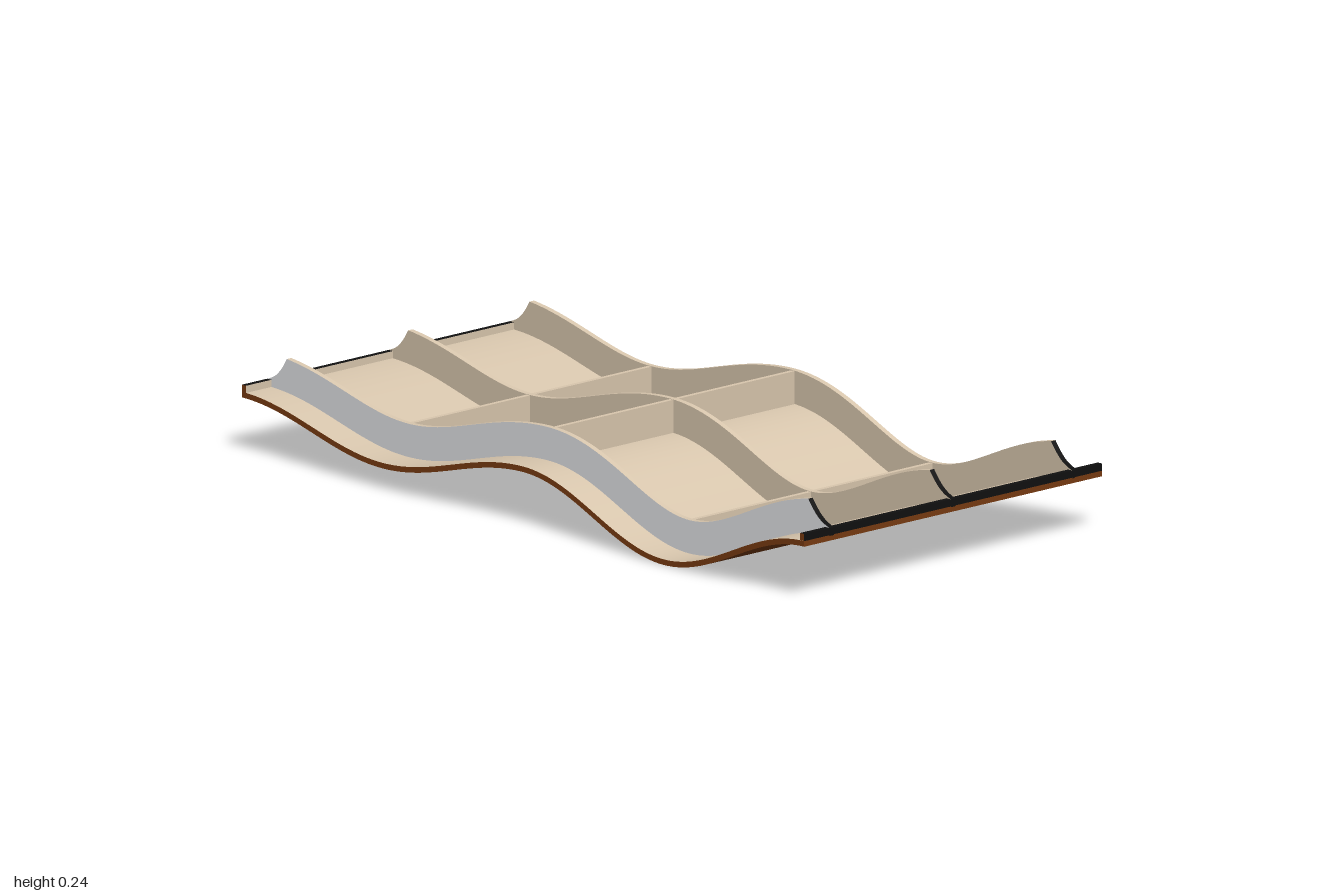
import * as THREE from 'three';
import { mergeGeometries } from 'three/addons/utils/BufferGeometryUtils.js';

const paint = (name, color) => {
  const m = new THREE.MeshStandardMaterial({ color });
  m.name = name;
  return m;
};

// Wave of the underside: a deep trough in front, a shallower one behind
const amplitude = z => (z > 0 ? 0.07 : 0.0425);
const waveY = z => 0.14 - amplitude(z) * (1 - Math.cos(2 * Math.PI * z));
const waveSlope = z => -amplitude(z) * 2 * Math.PI * Math.sin(2 * Math.PI * z);

// Point at a distance h above the wave, measured along its normal
function wavePoint(x, z, h) {
  const s = waveSlope(z), n = Math.hypot(1, s);
  return [x, waveY(z) + h / n, z - (h * s) / n];
}

// Smooth strip of quads between two rows of points
function strip(a, b) {
  const g = new THREE.BufferGeometry(), index = [], n = a.length;
  g.setAttribute('position', new THREE.Float32BufferAttribute([...a, ...b].flat(), 3));
  for (let i = 0; i < n - 1; i++) index.push(i, i + 1, n + i, i + 1, n + i + 1, n + i);
  g.setIndex(index);
  g.computeVertexNormals();
  return g;
}

// Closed slab that follows the wave; mats = [top, +x side, bottom, -x side, ends]
function waveSlab(name, x0, x1, z0, z1, low, high, steps, mats) {
  const row = (x, h) => Array.from({ length: steps + 1 }, (_, i) => {
    const z = z0 + ((z1 - z0) * i) / steps;
    return wavePoint(x, z, h(z));
  });
  const lo0 = row(x0, low), lo1 = row(x1, low), hi0 = row(x0, high), hi1 = row(x1, high);
  const faces = [
    strip(hi0, hi1), strip(hi1, lo1), strip(lo1, lo0), strip(lo0, hi0),
    mergeGeometries([
      strip([lo0[steps], lo1[steps]], [hi0[steps], hi1[steps]]),
      strip([lo1[0], lo0[0]], [hi1[0], hi0[0]]),
    ]),
  ];
  const mesh = new THREE.Mesh(mergeGeometries(faces, true), mats);
  mesh.name = name;
  return mesh;
}

export function createModel() {
  const tan = paint('tan', 0xd9c7ae);
  const brown = paint('brown', 0x783b11);
  const black = paint('black', 0x101010);
  const white = paint('pale grey', 0xe0e1e4);

  const model = new THREE.Group();
  model.name = 'wavyRibbedPanel';

  const SHEET = 0.014, RIB = 0.098, LIP = 0.032, CUT = 0.94;
  const level = h => () => h;

  // Thin wavy sheet
  model.add(waveSlab('sheet', -0.5, 0.5, -1, 1, level(0), level(SHEET), 120,
    [tan, black, brown, brown, brown]));

  // Raised lips at both ends
  for (const side of [1, -1]) {
    const lip = new THREE.Mesh(new THREE.BoxGeometry(1, LIP - SHEET, 0.015),
      [black, brown, black, tan, side > 0 ? black : tan, side > 0 ? tan : black]);
    lip.name = side > 0 ? 'frontLip' : 'backLip';
    lip.position.set(0, 0.14 + (SHEET + LIP) / 2, side * 0.9925);
    model.add(lip);
  }

  // Long ribs, with concave ends that sweep down to the lips
  const sweep = z => {
    const t = (1 - Math.abs(z)) / (1 - CUT);
    return LIP + (RIB - LIP) * (0.35 * t + 0.65 * t ** 3);
  };
  const ribs = [
    ['leftRib', 0.4, 0.415, black, tan],
    ['middleRib', -0.0075, 0.0075, black, tan],
    ['rightRib', -0.415, -0.4, tan, white],
  ];
  for (const [name, x0, x1, plusX, minusX] of ribs) {
    const rib = new THREE.Group();
    rib.name = name;
    const base = level(SHEET - 0.002);
    rib.add(
      waveSlab('ribBody', x0, x1, -CUT, CUT, base, level(RIB), 120, [tan, plusX, tan, minusX, black]),
      waveSlab('ribFrontEnd', x0, x1, CUT, 1, base, sweep, 10, [black, plusX, tan, minusX, black]),
      waveSlab('ribBackEnd', x0, x1, -1, -CUT, base, sweep, 10, [black, plusX, tan, minusX, black]),
    );
    model.add(rib);
  }

  // Cross ribs in two halves, at the crest and the two troughs
  for (const z of [-0.503, 0.007, 0.497]) {
    for (const side of [1, -1]) {
      const cross = new THREE.Mesh(new THREE.BoxGeometry(0.392, RIB - SHEET + 0.003, 0.012), tan);
      cross.name = 'crossRib';
      cross.position.set(side * 0.2037, waveY(z) + (RIB + SHEET - 0.005) / 2, z);
      model.add(cross);
    }
  }
  return model;
}
